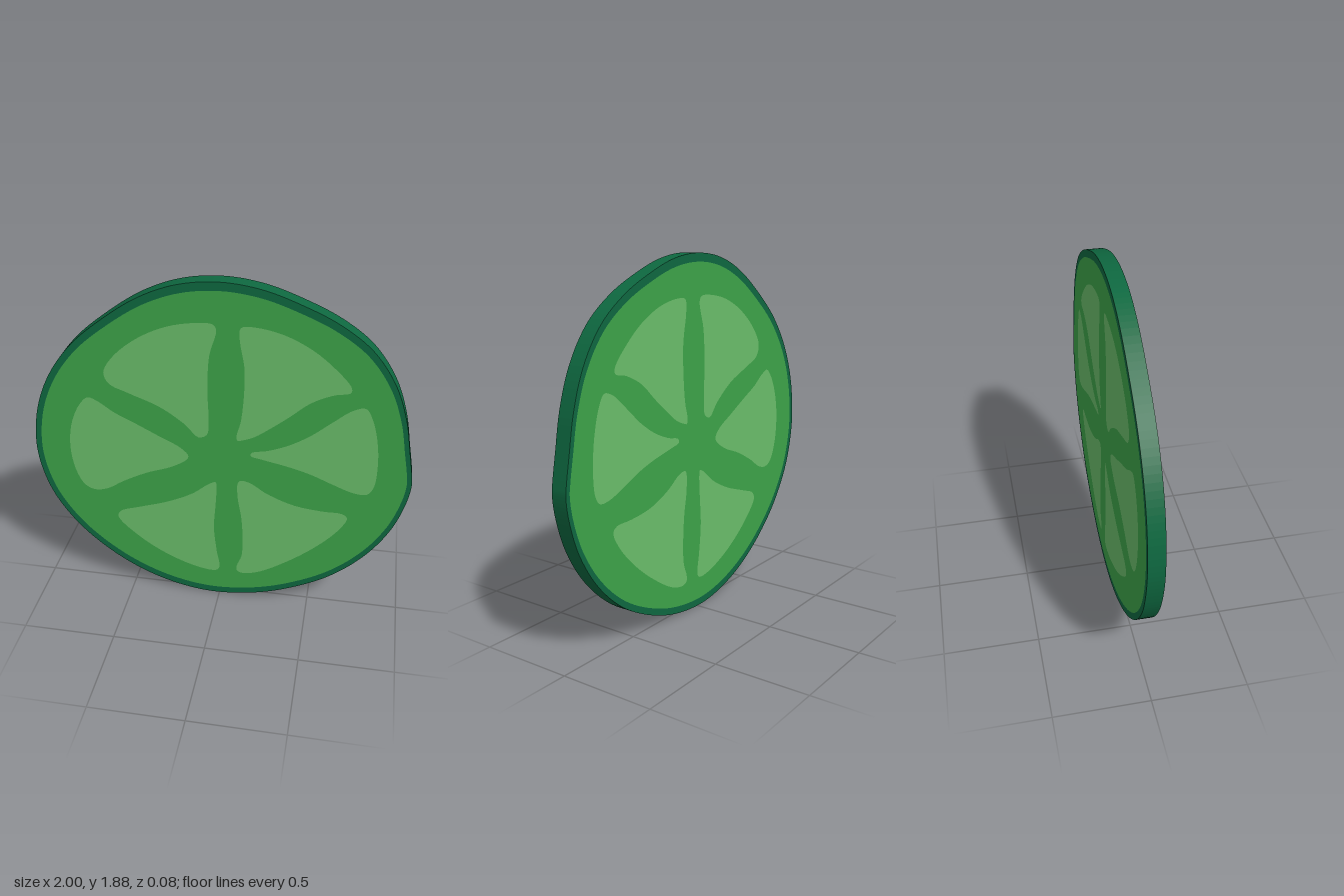
import * as THREE from 'three';

const DEPTH = 0.084;

// Smooth closed loop through a few [x, y] points
function loop(points, samples) {
  const curve = new THREE.CatmullRomCurve3(
    points.map(([x, y]) => new THREE.Vector3(x, y, 0)), true, 'centripetal');
  return curve.getPoints(samples).slice(0, -1).map((p) => new THREE.Vector2(p.x, p.y));
}

// Flat slab centred on z = 0, with optional holes
function slab(name, outline, holes, material) {
  const shape = new THREE.Shape(outline);
  shape.holes = holes.map((h) => new THREE.Path(h));
  const geometry = new THREE.ExtrudeGeometry(shape, { depth: DEPTH, bevelEnabled: false });
  geometry.translate(0, 0, -DEPTH / 2);
  const mesh = new THREE.Mesh(geometry, material);
  mesh.name = name;
  return mesh;
}

// Slightly irregular fruit outline
const outlinePoints = [
  [0, 1.885], [0.2, 1.862], [0.4, 1.795], [0.58, 1.71], [0.74, 1.59], [0.86, 1.42],
  [0.93, 1.23], [0.965, 1.05], [0.99, 0.91], [0.995, 0.86], [0.98, 0.75], [0.92, 0.57],
  [0.8, 0.38], [0.62, 0.21], [0.4, 0.09], [0.2, 0.025], [-0.02, 0], [-0.2, 0.02],
  [-0.4, 0.085], [-0.6, 0.2], [-0.79, 0.37], [-0.92, 0.56], [-0.98, 0.73], [-1, 0.9],
  [-0.97, 1.12], [-0.89, 1.32], [-0.76, 1.5], [-0.59, 1.65], [-0.39, 1.785], [-0.2, 1.86],
];

// Juicy segments, clockwise from the top
const topLeft = [
  [0.095, 1.03], [0.09, 1.06], [0.11, 1.14], [0.125, 1.3], [0.125, 1.45], [0.1, 1.6],
  [0.105, 1.66], [0.15, 1.67], [0.3, 1.645], [0.45, 1.575], [0.57, 1.48], [0.65, 1.39],
  [0.65, 1.36], [0.57, 1.34], [0.46, 1.286], [0.355, 1.195], [0.25, 1.11], [0.18, 1.06],
  [0.12, 1.035],
];
const middleLeft = [
  [0.165, 0.945], [0.17, 0.965], [0.25, 0.985], [0.36, 1.03], [0.47, 1.1], [0.57, 1.185],
  [0.67, 1.265], [0.73, 1.28], [0.765, 1.225], [0.8, 1.1], [0.815, 0.95], [0.805, 0.82],
  [0.775, 0.775], [0.71, 0.775], [0.6, 0.815], [0.48, 0.865], [0.36, 0.9], [0.22, 0.93],
];
const bottomLeft = [
  [0.1, 0.77], [0.115, 0.785], [0.165, 0.775], [0.26, 0.715], [0.4, 0.66], [0.55, 0.64],
  [0.66, 0.635], [0.685, 0.61], [0.64, 0.52], [0.52, 0.39], [0.37, 0.27], [0.22, 0.18],
  [0.13, 0.16], [0.1, 0.175], [0.1, 0.21], [0.125, 0.28], [0.13, 0.4], [0.12, 0.55],
  [0.1, 0.67],
];
const bottomRight = [
  [-0.02, 0.76], [-0.055, 0.745], [-0.15, 0.67], [-0.29, 0.6], [-0.45, 0.545],
  [-0.555, 0.505], [-0.57, 0.465], [-0.47, 0.355], [-0.31, 0.245], [-0.125, 0.17],
  [-0.02, 0.16], [0, 0.185], [-0.015, 0.3], [-0.03, 0.46], [-0.02, 0.62], [-0.015, 0.735],
];
const middleRight = [
  [-0.165, 0.91], [-0.205, 0.955], [-0.31, 1.01], [-0.445, 1.08], [-0.555, 1.135],
  [-0.635, 1.19], [-0.69, 1.21], [-0.74, 1.16], [-0.79, 1.045], [-0.81, 0.9],
  [-0.79, 0.75], [-0.745, 0.66], [-0.69, 0.635], [-0.62, 0.65], [-0.525, 0.71],
  [-0.39, 0.78], [-0.26, 0.83], [-0.175, 0.885],
];
const topRight = [
  [-0.015, 1.64], [-0.05, 1.5], [-0.06, 1.3], [-0.055, 1.13], [-0.065, 1.05],
  [-0.11, 1.03], [-0.18, 1.1], [-0.31, 1.19], [-0.47, 1.255], [-0.57, 1.3],
  [-0.595, 1.36], [-0.55, 1.445], [-0.42, 1.56], [-0.26, 1.64], [-0.1, 1.672],
  [-0.03, 1.668],
];

export function createModel() {
  const peelGreen = new THREE.MeshStandardMaterial({ color: 0x0e6840 });
  peelGreen.name = 'peelGreen';
  const pithGreen = new THREE.MeshStandardMaterial({ color: 0x3da349 });
  pithGreen.name = 'pithGreen';
  const pulpGreen = new THREE.MeshStandardMaterial({ color: 0x6abd6a });
  pulpGreen.name = 'pulpGreen';

  const slice = new THREE.Group();
  slice.name = 'citrusSlice';

  // Peel ring around the slice
  const outer = loop(outlinePoints, 180);
  const inner = outer.map((p) => new THREE.Vector2(
    0.0035 + p.x * 0.9715, 0.94 + (p.y - 0.9425) * 0.956));
  slice.add(slab('peel', outer, [inner], peelGreen));

  // Pith with six openings, each filled by a pulp segment
  const parts = { topLeft, middleLeft, bottomLeft, bottomRight, middleRight, topRight };
  const segments = Object.entries(parts).map(([name, points]) => [name, loop(points, 80)]);
  slice.add(slab('pith', inner, segments.map(([, points]) => points), pithGreen));
  for (const [name, points] of segments) {
    slice.add(slab(name + 'Segment', points, [], pulpGreen));
  }
  return slice;
}
